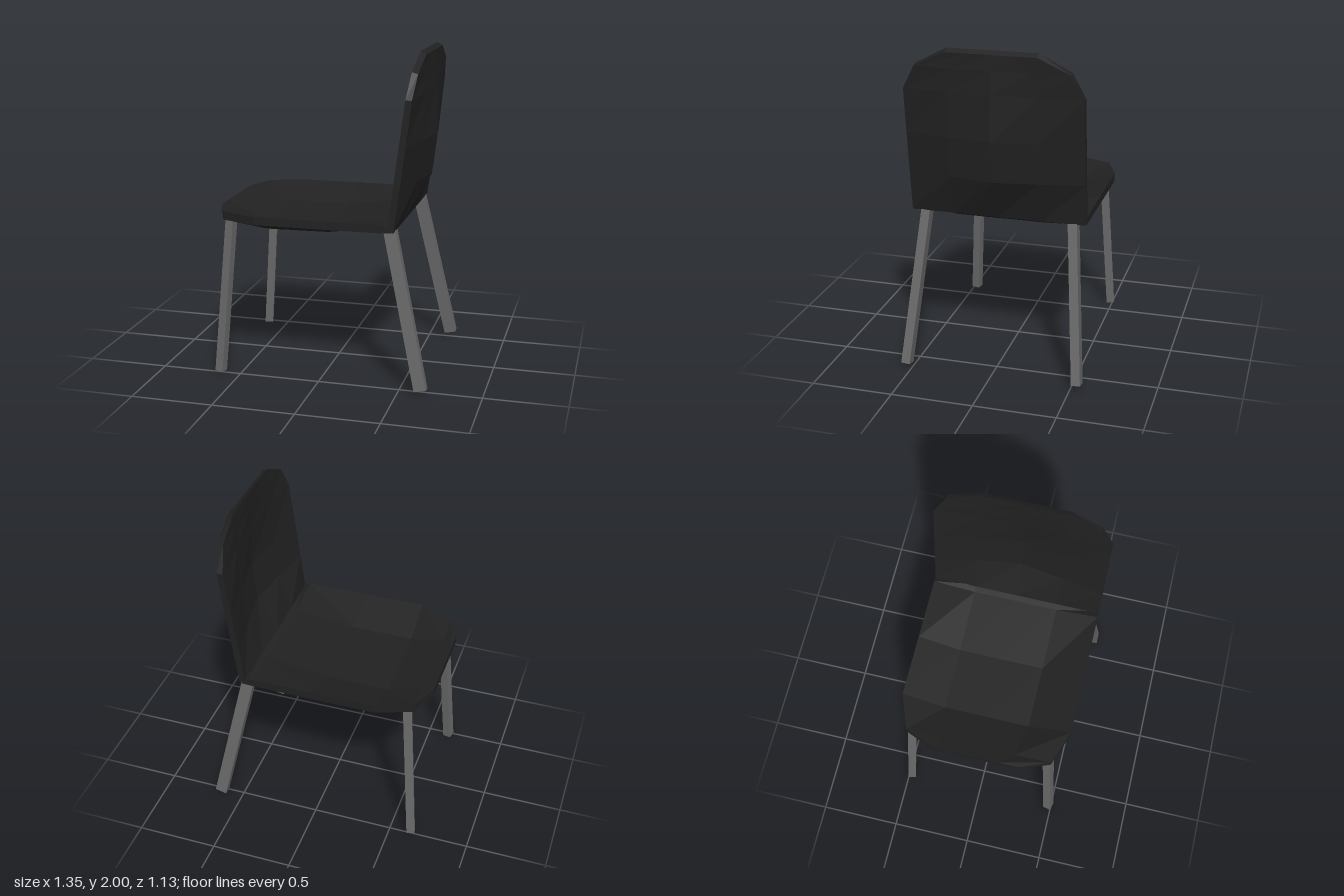
import * as THREE from 'three';

const black = new THREE.MeshStandardMaterial({ color: 0x212121, flatShading: true });
black.name = 'black shell';
const grey = new THREE.MeshStandardMaterial({ color: 0x686868, flatShading: true });
grey.name = 'grey leg';

// Dished shell lofted through cross-sections. Each row has a half width, an upper
// and a lower edge point [x, y], and how far its middle sinks along the direction dip.
function shell(name, rows, dip, profile) {
  const cols = [-1, -0.5, 0, 0.5, 1];
  const n = cols.length, ring = 2 * n;
  const pos = [], index = [];
  for (const { w, upper, lower, depth, under = depth } of rows) {
    const add = (p, d, k) => pos.push(p[0] + dip[0] * d * profile[k], p[1] + dip[1] * d * profile[k], cols[k] * w);
    for (let k = 0; k < n; k++) add(upper, depth, k);
    for (let k = n - 1; k >= 0; k--) add(lower, under, k);
  }
  const quad = (a, b, c, d) => index.push(a, b, c, a, c, d);
  for (let i = 0; i < rows.length - 1; i++) {
    for (let j = 0; j < ring; j++) {
      const k = (j + 1) % ring, a = i * ring, b = a + ring;
      quad(a + j, a + k, b + k, b + j);
    }
  }
  // Close both ends
  const last = (rows.length - 1) * ring;
  for (let j = 0; j < n - 1; j++) {
    const o = ring - 1 - j;
    quad(j, o, o - 1, j + 1);
    quad(last + j, last + j + 1, last + o - 1, last + o);
  }
  const indexed = new THREE.BufferGeometry();
  indexed.setAttribute('position', new THREE.Float32BufferAttribute(pos, 3));
  indexed.setIndex(index);
  const geometry = indexed.toNonIndexed();
  geometry.computeVertexNormals();
  const mesh = new THREE.Mesh(geometry, black);
  mesh.name = name;
  return mesh;
}

// Square bar between two points, twisted about its own length
function leg(name, top, bottom, width, depth, twist) {
  const a = new THREE.Vector3(...top), b = new THREE.Vector3(...bottom);
  const axis = a.clone().sub(b);
  const mesh = new THREE.Mesh(new THREE.BoxGeometry(width, axis.length(), depth), grey);
  mesh.position.copy(a).add(b).multiplyScalar(0.5);
  mesh.quaternion.setFromUnitVectors(new THREE.Vector3(0, 1, 0), axis.normalize());
  mesh.rotateY(twist);
  mesh.name = name;
  return mesh;
}

export function createModel() {
  const chair = new THREE.Group();
  chair.name = 'chair';

  // Seat, from its rounded free edge towards the backrest
  chair.add(shell('seat', [
    { w: 0.27, upper: [-0.68, 1.02], lower: [-0.68, 0.972], depth: 0 },
    { w: 0.455, upper: [-0.605, 1.02], lower: [-0.605, 0.97], depth: 0.022 },
    { w: 0.535, upper: [-0.39, 1.02], lower: [-0.39, 0.97], depth: 0.085, under: 0.09 },
    { w: 0.535, upper: [0, 1.02], lower: [0, 0.97], depth: 0.08, under: 0.085 },
    { w: 0.535, upper: [0.39, 1.02], lower: [0.39, 0.972], depth: 0.03 },
    { w: 0.535, upper: [0.44, 1.0], lower: [0.45, 0.975], depth: 0 },
  ], [0, -1], [0, 1, 1, 1, 0]));

  // Backrest, from the seat up to its rounded top
  chair.add(shell('backrest', [
    { w: 0.535, upper: [0.425, 1.0], lower: [0.46, 0.975], depth: 0 },
    { w: 0.535, upper: [0.455, 1.23], lower: [0.495, 1.23], depth: 0.09 },
    { w: 0.535, upper: [0.487, 1.48], lower: [0.527, 1.48], depth: 0.088 },
    { w: 0.535, upper: [0.522, 1.75], lower: [0.56, 1.75], depth: 0.04 },
    { w: 0.46, upper: [0.542, 1.9], lower: [0.578, 1.89], depth: 0.014 },
    { w: 0.27, upper: [0.555, 2.0], lower: [0.588, 1.98], depth: 0 },
  ], [1, 0], [0, 0.55, 1, 0.55, 0]));

  // Splayed legs, mirrored across z
  for (const s of [-1, 1]) {
    const side = s > 0 ? 'PlusZ' : 'MinusZ';
    chair.add(leg('seatEdgeLeg' + side, [-0.563, 0.965, s * 0.43], [-0.633, 0.008, s * 0.483], 0.052, 0.052, -s * 0.23));
    chair.add(leg('backrestLeg' + side, [0.428, 0.97, s * 0.453], [0.637, 0.03, s * 0.535], 0.074, 0.055, 0));
  }
  return chair;
}
